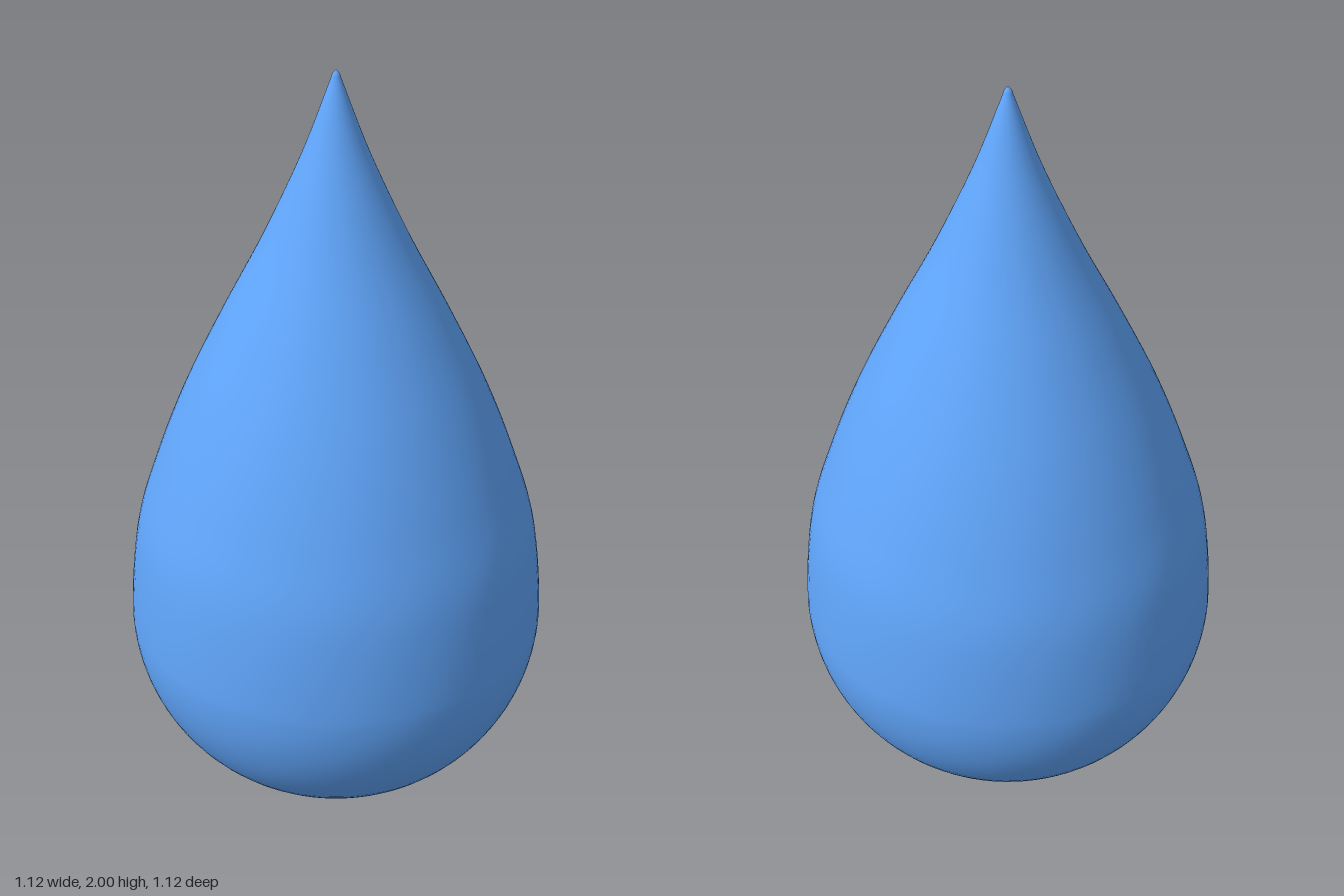
import * as THREE from 'three';

export function createModel() {
  const group = new THREE.Group();
  group.name = 'waterDrop';

  const maxRadius = 0.56, widest = 0.54;
  const points = [];

  // Rounded bowl: quarter ellipse from the bottom pole to the widest ring
  const bowlSteps = 24;
  for (let i = 0; i < bowlSteps; i++) {
    const a = (i / bowlSteps) * Math.PI / 2;
    points.push(new THREE.Vector2(maxRadius * Math.sin(a), widest * (1 - Math.cos(a))));
  }

  // Tapering neck: smooth curve from the widest ring to the slightly rounded tip
  const neck = new THREE.SplineCurve([
    [0.541, 0.40], [maxRadius, widest], [0.53, 0.8], [0.467, 1.0], [0.385, 1.2], [0.285, 1.4],
    [0.178, 1.6], [0.083, 1.8], [0.02, 1.96], [0.009, 1.99], [0, 2],
  ].map(([r, y]) => new THREE.Vector2(r, y)));
  const neckSteps = 100;
  for (let i = 10; i <= neckSteps; i++) {
    const p = neck.getPoint(i / neckSteps);
    points.push(new THREE.Vector2(Math.max(0, p.x), p.y));
  }

  const drop = new THREE.Mesh(
    new THREE.LatheGeometry(points, 96),
    new THREE.MeshStandardMaterial({ color: 0x60a5fa }),
  );
  drop.name = 'dropBody';
  group.add(drop);
  return group;
}
